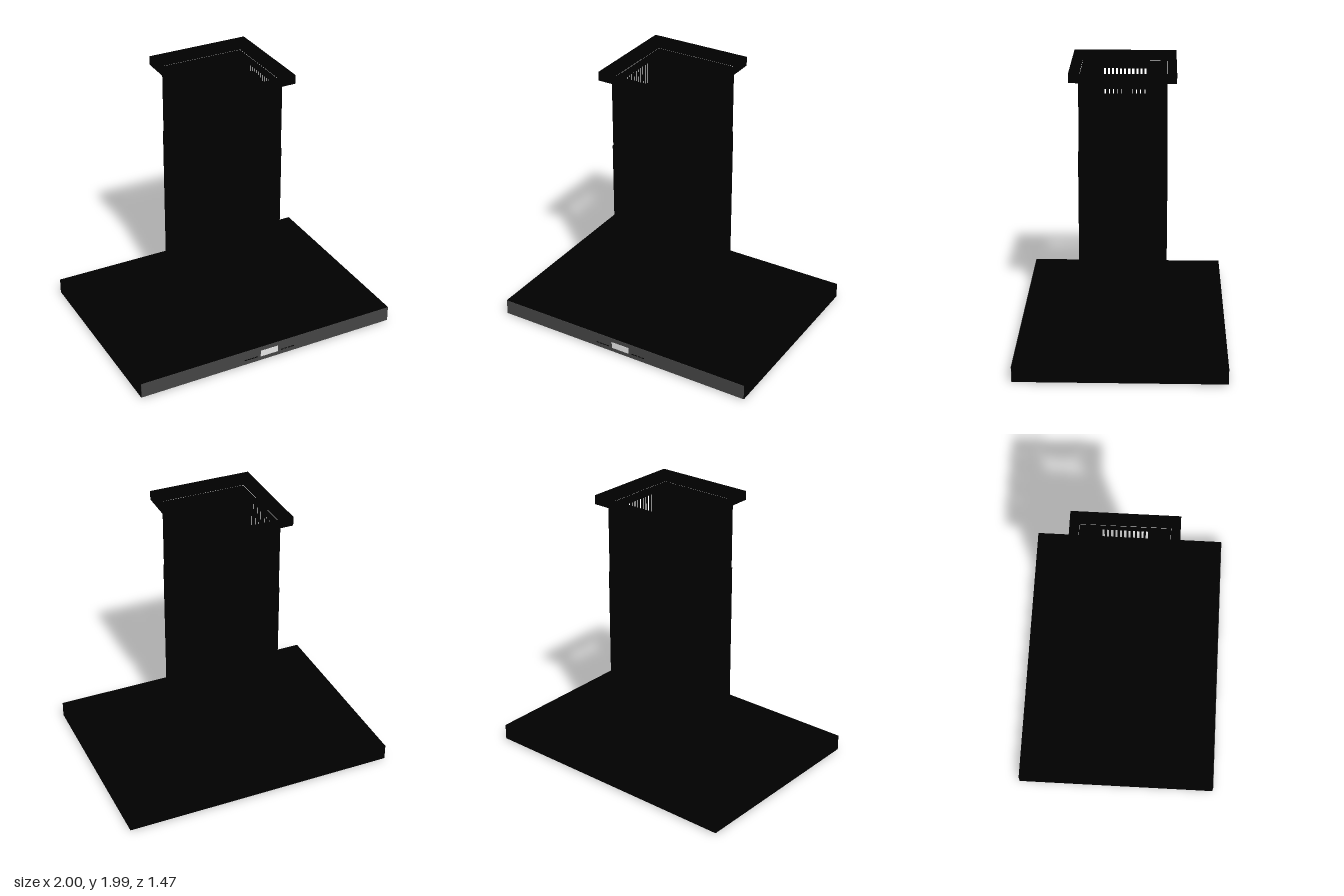
import * as THREE from 'three';

const material = (name, color) => {
  const m = new THREE.MeshStandardMaterial({ color });
  m.name = name;
  return m;
};

export function createModel() {
  const black = material('black enamel', 0x000000);
  const darkSteel = material('dark steel', 0x454545);
  const mesh = material('filter grey', 0x757575);
  const pale = material('pale grey', 0xe8e8e8);
  const lensGrey = material('lamp lens grey', 0xcccccc);

  const model = new THREE.Group();
  model.name = 'cookerHood';

  const add = (name, geometry, mat, parent = model) => {
    const part = new THREE.Mesh(geometry, mat);
    part.name = name;
    parent.add(part);
    return part;
  };
  const box = (name, mat, x0, x1, y0, y1, z0, z1, parent) => {
    const part = add(name, new THREE.BoxGeometry(x1 - x0, y1 - y0, z1 - z0), mat, parent);
    part.position.set((x0 + x1) / 2, (y0 + y1) / 2, (z0 + z1) / 2);
  };
  const outline = (Type, x0, x1, y0, y1) => new Type([
    [x0, y0], [x1, y0], [x1, y1], [x0, y1],
  ].map(([x, y]) => new THREE.Vector2(x, y)));

  // Upright rectangular tube with an inner opening, from y0 to y1
  const tube = (name, hx, hz, innerX, innerZ, y0, y1) => {
    const shape = outline(THREE.Shape, -hx, hx, -hz, hz);
    shape.holes.push(outline(THREE.Path, -innerX, innerX, -innerZ, innerZ));
    const g = new THREE.ExtrudeGeometry(shape, { depth: y1 - y0, bevelEnabled: false });
    g.rotateX(-Math.PI / 2).translate(0, y0, 0);
    add(name, g, black);
  };

  // Hollow canopy: side walls, top sheet open under the chimney, floor
  tube('canopySides', 1, 0.73, 0.99, 0.72, 0.01, 0.123);
  tube('canopyTop', 0.99, 0.72, 0.3, 0.3, 0.115, 0.123);
  box('canopyFloor', black, -0.99, 0.99, 0.012, 0.022, -0.72, 0.72);

  // Front fascia with display and touch buttons
  box('frontFascia', darkSteel, -0.998, 0.998, 0.011, 0.122, 0.729, 0.733);
  box('display', pale, -0.07, 0.07, 0.042, 0.09, 0.731, 0.735);
  for (const side of [-1, 1]) {
    for (let i = 0; i < 4; i++) {
      const x = side * (0.105 + i * 0.028);
      box('button', black, x - 0.01, x + 0.01, 0.045, 0.051, 0.731, 0.736);
    }
  }

  // Six grease filters with finger grips at their outer ends
  for (const side of [-1, 1]) {
    for (let i = -1; i <= 1; i++) {
      const z = i * 0.418;
      const filter = new THREE.Group();
      filter.name = 'greaseFilter';
      model.add(filter);
      const c = side * 0.52;
      box('filterPanel', mesh, c - 0.382, c + 0.382, 0.01, 0.014, z - 0.193, z + 0.193, filter);
      const h = side * 0.85;
      box('filterHandle', darkSteel, h - 0.035, h + 0.035, 0.008, 0.012, z - 0.075, z + 0.075, filter);
    }
  }

  // Two lamps and a central sensor knob under the canopy
  for (const z of [-0.19, 0.19]) {
    const lamp = new THREE.Group();
    lamp.name = 'lamp';
    lamp.position.z = z;
    model.add(lamp);
    add('lampRing', new THREE.CylinderGeometry(0.062, 0.056, 0.008, 32), pale, lamp).position.y = 0.01;
    add('lampLens', new THREE.CylinderGeometry(0.046, 0.044, 0.004, 32), lensGrey, lamp).position.y = 0.007;
  }
  add('sensorKnob', new THREE.CylinderGeometry(0.04, 0.028, 0.014, 24), darkSteel).position.y = 0.007;

  // Lower chimney sleeve
  tube('lowerChimney', 0.308, 0.308, 0.302, 0.302, 0.123, 1.415);

  // Upper chimney: plain front and back, slotted sides
  for (const side of [-1, 1]) {
    const z = side * 0.3;
    box('upperChimneyPanel', black, -0.306, 0.306, 1.3, 1.92, z - 0.003, z + 0.003);

    const wall = outline(THREE.Shape, -0.297, 0.297, 1.3, 1.92);
    for (let i = -5; i <= 5; i++) {
      const s = i * 0.029;
      wall.holes.push(outline(THREE.Path, s - 0.0075, s + 0.0075, 1.677, 1.865));
    }
    const g = new THREE.ExtrudeGeometry(wall, { depth: 0.006, bevelEnabled: false });
    g.translate(0, 0, -0.003).rotateY(Math.PI / 2);
    add('ventedChimneyPanel', g, black).position.x = side * 0.303;
  }

  // Ceiling collar: open tray with a rim and a narrow base around the duct
  tube('collarBase', 0.369, 0.365, 0.308, 0.305, 1.92, 1.926);
  tube('collarRim', 0.37, 0.366, 0.364, 0.36, 1.92, 1.985);

  return model;
}
